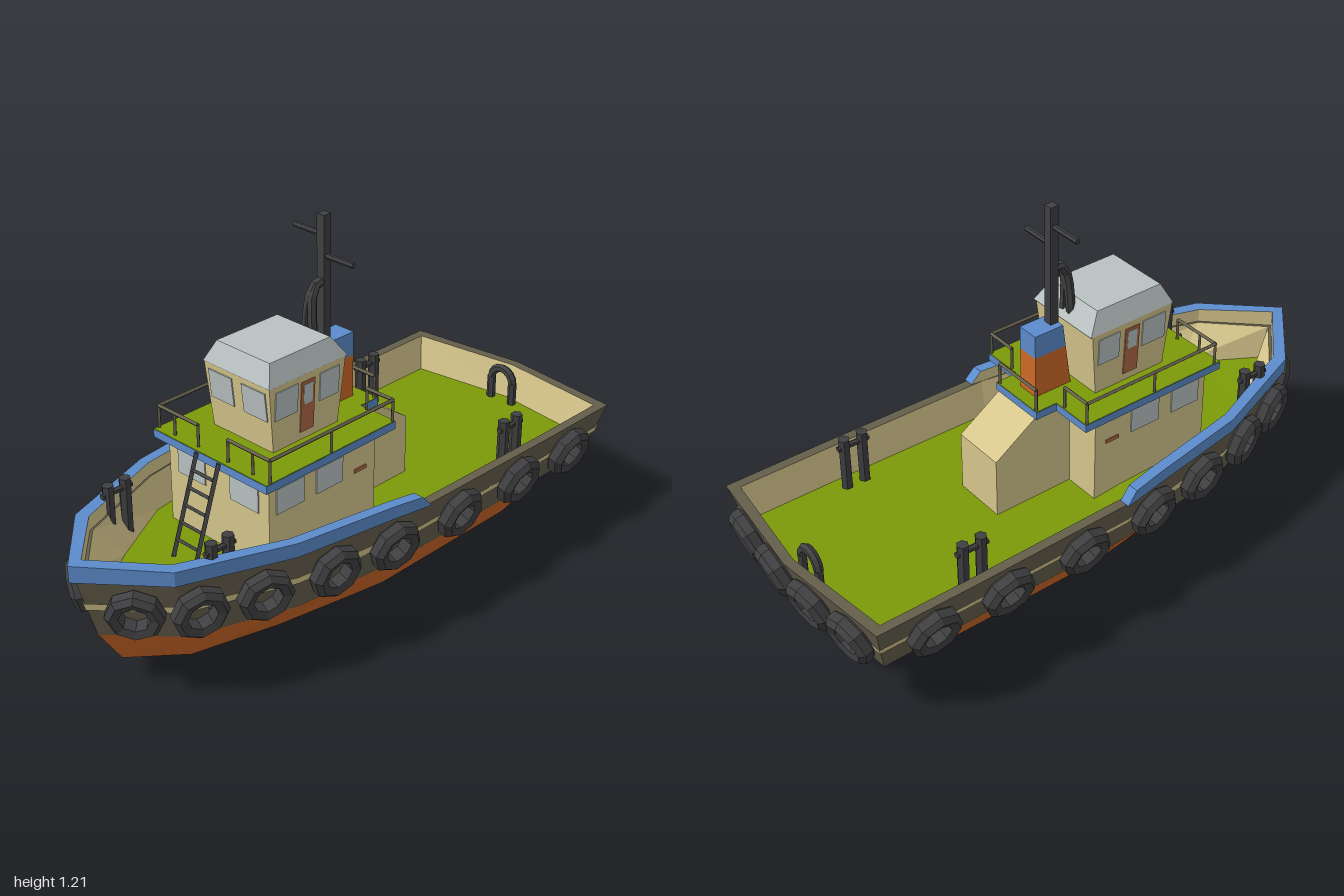
import * as THREE from 'three';

const mat = (name, color) => {
  const m = new THREE.MeshStandardMaterial({ color, flatShading: true, side: THREE.DoubleSide });
  m.name = name;
  return m;
};

export function createModel() {
  const M = {
    hull: mat('darkHull', 0x645e4c), orange: mat('orangePaint', 0xcd6828), blue: mat('blueTrim', 0x5c8ccc),
    deck: mat('greenDeck', 0x7c9a08), tan: mat('tanPaint', 0xd6c68c), grey: mat('paleGrey', 0xb9c2c1),
    rubber: mat('blackRubber', 0x404042), door: mat('brownDoor', 0xb06a44),
  };
  const root = new THREE.Group();
  root.name = 'tugboat';
  const V = (x, y, z) => new THREE.Vector3(x, y, z);
  const add = (name, geo, m, parent = root) => {
    const mesh = new THREE.Mesh(geo, m);
    mesh.name = name;
    parent.add(mesh);
    return mesh;
  };
  const group = (name) => {
    const g = new THREE.Group();
    g.name = name;
    root.add(g);
    return g;
  };

  // Skin between two half-breadth lines running bow to stern, mirrored to both sides
  const strip = (name, a, b, m) => {
    const pos = [];
    const tri = (p, q, r) => {
      pos.push(...p, ...q, ...r);
      for (const v of [p, r, q]) pos.push(-v[0], v[1], v[2]);
    };
    for (let i = 0; i < Math.min(a.length, b.length) - 1; i++) {
      tri(a[i], b[i], a[i + 1]);
      tri(a[i + 1], b[i], b[i + 1]);
    }
    const g = new THREE.BufferGeometry();
    g.setAttribute('position', new THREE.Float32BufferAttribute(pos, 3));
    g.computeVertexNormals();
    return add(name, g, m);
  };
  const inset = (line, d, yOf) => line.map(([x, y, z], i) => [
    x ? x - d : 0, yOf ? yOf(i) : y, z - (i === 0 ? 1.3 * d : i === 1 ? 0.6 * d : 0) + (i > 6 ? d : 0)]);
  const mix = (a, b, t) => a.map((p, i) => p.map((v, k) => v + (b[i][k] - v) * t));

  // Hull lines: sheer, waterline, chine and keel
  const sheer = [[0, .412, .975], [.207, .405, .79], [.333, .396, .445], [.385, .39, .1], [.403, .387, 0],
    [.41, .385, -.6], [.41, .385, -.65], [.41, .385, -.92], [0, .385, -.965]];
  const water = [[0, .197, .91], [.19, .197, .74], [.305, .197, .42], [.34, .197, .1], [.35, .197, -.02],
    [.352, .197, -.6], [.352, .197, -.65], [.352, .197, -.87], [0, .197, -.9]];
  const chine = [[0, .075, .83], [.13, .075, .68], [.2, .07, .4], [.232, .05, .1], [.24, .04, -.02],
    [.24, .04, -.605], [.24, .1, -.65], [.352, .197, -.87]];
  const keel = [[0, .075, .83], [0, .05, .68], [0, .005, .4], [0, 0, .1], [0, 0, -.02],
    [0, 0, -.57], [0, .1, -.65], [0, .197, -.9]];
  strip('hullSide', sheer, water, M.hull);
  strip('hullLowerSide', water, chine, M.orange);
  strip('hullBottom', chine, keel, M.orange);
  strip('hullStripe', inset(mix(water, sheer, .59), -.004), inset(mix(water, sheer, .47), -.004), M.tan);

  // Bulwark and deck; the deck narrows straight to the bow
  const lip = inset(sheer, .032);
  const edge = inset(sheer, .055, (i) => .3 - .03 * Math.min(1, i / 4));
  edge[1] = [.15, .29, .68];
  strip('bulwarkTop', lip, sheer, M.hull);
  strip('bulwarkInside', edge, lip, M.tan);
  strip('deck', edge.map(([, y, z]) => [0, y, z]), edge, M.deck);

  // Raised blue rail around the bow, tapering off amidships
  const capTop = [[0, .466, .995], [.215, .452, .8], [.341, .442, .45], [.392, .432, .1], [.408, .426, 0], [.412, .387, -.035]];
  const capLow = capTop.map(([x, , z], i) => [x, sheer[i][1], z]);
  const capIn = inset(capTop, .036), capInLow = inset(capLow, .036);
  strip('bowRailOuter', capTop, capLow, M.blue);
  strip('bowRailTop', capIn, capTop, M.blue);
  strip('bowRailInner', capInLow, capIn, M.tan);
  strip('bowRailUnderside', capLow, capInLow, M.blue);

  // Tyre fenders, placed by hull segment and fraction along it
  const tyreGeo = new THREE.LatheGeometry([[.045, -.022], [.07, -.03], [.086, -.014], [.086, .014], [.07, .03],
    [.045, .022], [.045, -.022]].map(([x, y]) => new THREE.Vector2(x, y)), 8);
  const tyres = group('tyreFenders');
  const mid = mix(water, sheer, .5);
  for (const [i, t] of [[0, .52], [1, .13], [1, .69], [2, .36], [3, .1], [4, .3], [4, .78], [6, .32], [7, .28], [7, .76]]) {
    for (const s of [1, -1]) {
      const p = V(...mid[i]).lerp(V(...mid[i + 1]), t);
      const along = V(...mid[i + 1]).sub(V(...mid[i])).normalize();
      const up = V(...sheer[i]).lerp(V(...sheer[i + 1]), t).sub(V(...water[i]).lerp(V(...water[i + 1]), t));
      const n = along.clone().cross(up).normalize();
      p.addScaledVector(n, .021);
      for (const v of [p, along, n]) v.x *= s;
      const tyre = add('tyre', tyreGeo, M.rubber, tyres);
      tyre.quaternion.setFromRotationMatrix(new THREE.Matrix4().makeBasis(along, n, along.clone().cross(n)));
      tyre.position.copy(p);
    }
  }

  // Helpers for the superstructure
  const box = (name, m, w, h, d, x, y, z) => add(name, new THREE.BoxGeometry(w, h, d).translate(x, y, z), m);
  const pane = (name, m, w, h, x, y, z, ry = 0, tilt = 0) => {
    const p = add(name, new THREE.BoxGeometry(w, h, .006), m);
    p.position.set(x, y, z);
    p.rotation.set(tilt, ry, 0, 'YXZ');
  };
  const frustum = (name, m, y0, y1, [w0, a0, b0], [w1, a1, b1], cx) => {
    const g = new THREE.BoxGeometry(1, 1, 1), p = g.attributes.position;
    for (let i = 0; i < p.count; i++) {
      const top = p.getY(i) > 0, back = p.getZ(i) < 0;
      p.setXYZ(i, cx + 2 * p.getX(i) * (top ? w1 : w0), top ? y1 : y0, top ? (back ? a1 : b1) : (back ? a0 : b0));
    }
    g.computeVertexNormals();
    return add(name, g, m);
  };
  const shapeOf = (pts) => new THREE.Shape(pts.map(([x, y]) => new THREE.Vector2(x, y)));
  const sideProfile = (name, m, pts, w) => add(name, new THREE.ExtrudeGeometry(shapeOf(pts),
    { depth: w, bevelEnabled: false }).rotateY(-Math.PI / 2).translate(w / 2, 0, 0), m);
  const rod = (name, a, b, r, m, parent = root, sides = 6) => {
    const p = V(...a), q = V(...b), d = q.clone().sub(p);
    const c = add(name, new THREE.CylinderGeometry(r, r, d.length(), sides), m, parent);
    c.position.copy(p).add(q).multiplyScalar(.5);
    c.quaternion.setFromUnitVectors(V(0, 1, 0), d.normalize());
  };

  // Lower house and sloped rear trunk
  box('lowerHouse', M.tan, .424, .31, .44, 0, .415, .22);
  sideProfile('rearTrunk', M.tan, [[.02, .26], [.02, .57], [-.13, .57], [-.28, .47], [-.28, .26]], .18);
  for (const s of [1, -1]) {
    pane('lowerFrontWindow', M.grey, .118, .087, s * .112, .507, .441);
    for (const z of [.357, .195]) pane('lowerSideWindow', M.grey, .11, .083, s * .213, .505, z, s * Math.PI / 2);
    pane('lowerDoorLintel', M.door, .05, .012, s * .213, .472, .065, s * Math.PI / 2);
  }

  // Upper platform: blue slab with green walkway
  const plan = (k) => shapeOf([[-.24 + k, -.475 + k], [.24 - k, -.475 + k], [.24 - k, .06 - k], [.1 - k, .06 - k],
    [.1 - k, .135 - k], [-.1 + k, .135 - k], [-.1 + k, .06 - k], [-.24 + k, .06 - k]]);
  const slab = (name, k, y, h, m) => add(name, new THREE.ExtrudeGeometry(plan(k), { depth: h, bevelEnabled: false })
    .rotateX(-Math.PI / 2).translate(0, y, 0), m);
  slab('platformSlab', 0, .568, .026, M.blue);
  slab('platformWalkway', .001, .592, .004, M.deck);

  // Wheelhouse, flaring upward, with bevelled roof
  const cx = -.006;
  frustum('wheelhouse', M.tan, .59, .812, [.125, .065, .33], [.136, .042, .353], cx);
  frustum('wheelhouseRoof', M.grey, .812, .876, [.138, .035, .355], [.11, .08, .325], cx);
  for (const s of [1, -1]) {
    const side = (name, m, w, h, y, z, out = 0) =>
      pane(name, m, w, h, cx + s * (.125 + (y - .59) * .05 + out), y, z, s * Math.PI / 2, .05);
    pane('wheelhouseFrontWindow', M.grey, .097, .094, cx + s * .069, .745, .347, 0, .104);
    side('wheelhouseSideWindow', M.grey, .09, .092, .745, .283);
    side('wheelhouseSideWindow', M.grey, .08, .092, .745, .108);
    side('wheelhouseDoor', M.door, .055, .165, .705, .197);
    side('doorWindow', M.grey, .036, .065, .745, .197, .001);
  }

  // Funnel, mast and bent exhaust pipes
  sideProfile('funnelLower', M.orange, [[.045, .59], [.025, .735], [-.09, .735], [-.09, .59]], .074);
  sideProfile('funnelTop', M.blue, [[.025, .735], [.015, .812], [-.09, .812], [-.09, .735]], .074);
  box('mast', M.rubber, .029, .4, .029, 0, 1.008, 0);
  rod('upperYard', [-.12, 1.142, 0], [0, 1.142, 0], .009, M.rubber);
  rod('lowerYard', [0, 1.078, 0], [.12, 1.078, 0], .009, M.rubber);
  for (const s of [1, -1]) {
    const path = new THREE.CatmullRomCurve3([V(0, 1, 0), V(s * .002, .995, .033), V(s * .005, .965, .052), V(s * .017, .82, .062)]);
    add('exhaustPipe', new THREE.TubeGeometry(path, 6, .015, 6), M.rubber);
  }

  // Platform railings
  const rails = group('platformRailing');
  const y0 = .594, y1 = .667;
  const post = (x, z) => rod('post', [x, y0, z], [x, y1, z], .006, M.hull, rails, 4);
  for (const s of [1, -1]) {
    const run = [[.063, .455], [.235, .455], [.235, -.052], [.13, -.052]];
    for (let i = 0; i < 3; i++) {
      rod('handrail', [s * run[i][0], y1, run[i][1]], [s * run[i + 1][0], y1, run[i + 1][1]], .007, M.hull, rails, 4);
    }
    for (const [x, z] of [...run, [.165, .455], [.235, .21], [.09, -.128]]) post(s * x, z);
  }
  rod('rearHandrail', [-.09, y1, -.128], [.09, y1, -.128], .007, M.hull, rails, 4);

  // Ladder from the foredeck up to the platform
  const ladder = group('ladder');
  for (const s of [1, -1]) rod('ladderSide', [s * .047, .592, .478], [s * .047, .285, .582], .009, M.rubber, ladder, 4);
  for (let i = 1; i < 6; i++) {
    const t = i / 6, y = .592 - .307 * t, z = .478 + .104 * t;
    rod('rung', [-.047, y, z], [.047, y, z], .007, M.rubber, ladder, 4);
  }

  // Paired mooring bollards and the towing hoop
  const bollards = group('bollards');
  for (const s of [1, -1]) {
    for (const [x, z, base, top] of [[.222, .64, .285, .492], [.31, -.53, .265, .452]]) {
      for (const k of [-.032, .032]) rod('bollard', [s * x, base, z + k], [s * x, top, z + k], .019, M.rubber, bollards);
      rod('bollardBar', [s * x, top - .03, z - .055], [s * x, top - .03, z + .055], .01, M.rubber, bollards);
    }
    rod('hoopLeg', [s * .045, .265, -.88], [s * .045, .348, -.88], .015, M.rubber);
  }
  add('towingHoop', new THREE.TorusGeometry(.045, .015, 6, 8, Math.PI).translate(0, .345, -.88), M.rubber);
  return root;
}
